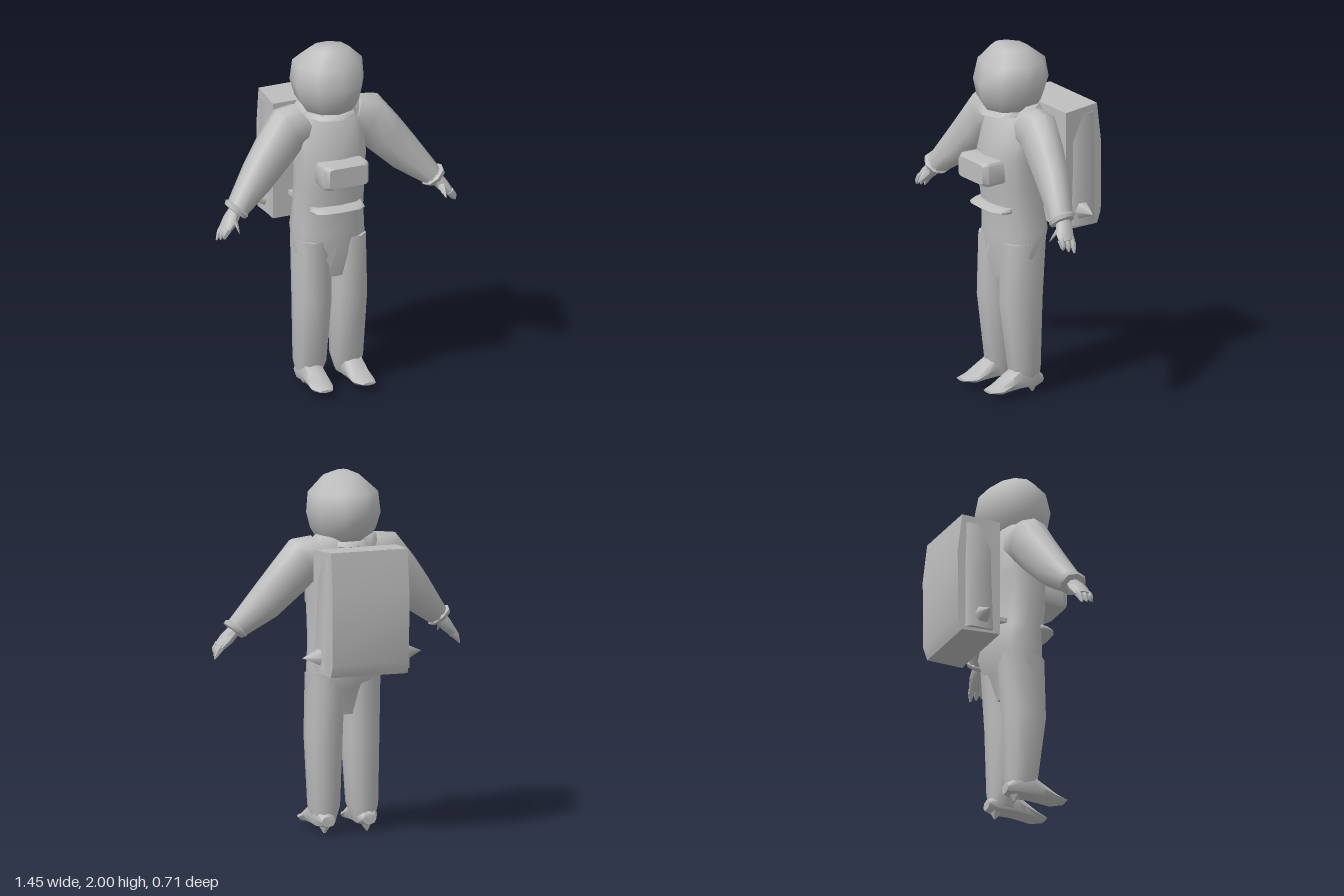
import * as THREE from 'three';
import { toCreasedNormals } from 'three/addons/utils/BufferGeometryUtils.js';

const suit = new THREE.MeshStandardMaterial({ color: 0xbcbcbc });
suit.name = 'suitGrey';
suit.side = THREE.DoubleSide;

// Loft through rings { c: centre, u, v: half-axes, p: squareness }; u x v points along the loft.
// side = -1 mirrors the part across x = 0.
function loft(rings, { sides = 10, side = 1, crease = 0.9, phase = 0 } = {}) {
  const pos = [], idx = [];
  const put = (v) => pos.push(v.x * side, v.y, v.z);
  const tri = (a, b, c) => (side > 0 ? idx.push(a, b, c) : idx.push(a, c, b));
  for (const { c, u, v, p = 2 } of rings) {
    for (let j = 0; j < sides; j++) {
      const t = ((j + phase) / sides) * Math.PI * 2;
      const bend = (k) => Math.sign(k) * Math.pow(Math.abs(k), 2 / p);
      put(c.clone().addScaledVector(u, bend(Math.cos(t))).addScaledVector(v, bend(Math.sin(t))));
    }
  }
  for (let i = 0; i < rings.length - 1; i++) {
    for (let j = 0; j < sides; j++) {
      const a = i * sides + j, b = i * sides + ((j + 1) % sides);
      tri(a, b, b + sides);
      tri(a, b + sides, a + sides);
    }
  }
  const n = rings.length * sides, last = n - sides;
  put(rings[0].c);
  put(rings[rings.length - 1].c);
  for (let j = 0; j < sides; j++) {
    const k = (j + 1) % sides;
    tri(n, k, j);
    tri(n + 1, last + j, last + k);
  }
  const g = new THREE.BufferGeometry();
  g.setAttribute('position', new THREE.Float32BufferAttribute(pos, 3));
  g.setIndex(idx);
  return toCreasedNormals(g, crease);
}

const V = (x, y, z) => new THREE.Vector3(x, y, z);

// Ring in a horizontal plane, given by its x centre, x radius and z limits (order rings top to bottom)
const level = (y, cx, rx, z0, z1, p) => ({ c: V(cx, y, (z0 + z1) / 2), u: V(rx, 0, 0), v: V(0, 0, (z1 - z0) / 2), p });

// Ring facing +z (order rings back to front)
const facing = (z, cx, cy, rx, ry, p) => ({ c: V(cx, cy, z), u: V(rx, 0, 0), v: V(0, ry, 0), p });

// Ring across an arm that slopes outward and down by the given angle
const across = (x, y, z, r, rz, angle = 0.85, p = 2.2) => ({
  c: V(x, y, z), u: V(Math.sin(angle) * r, Math.cos(angle) * r, 0), v: V(0, 0, rz), p,
});

export function createModel() {
  const model = new THREE.Group();
  model.name = 'astronaut';
  const add = (name, geometry) => {
    const m = new THREE.Mesh(geometry, suit);
    m.name = name;
    model.add(m);
    return m;
  };

  // Faceted helmet with a tilted crown
  add('helmet', loft([
    level(2.0, -0.02, 0.03, 0.11, 0.16),
    level(1.975, 0.0, 0.11, 0.0, 0.2),
    level(1.895, -0.002, 0.198, -0.105, 0.265),
    level(1.78, -0.005, 0.207, -0.13, 0.297),
    level(1.69, -0.005, 0.182, -0.1, 0.28),
    level(1.61, -0.005, 0.13, -0.04, 0.23),
  ], { sides: 9, crease: 1.2, phase: 0.25 }));

  // Neck ring
  add('collar', loft([
    level(1.63, -0.01, 0.155, -0.07, 0.25),
    level(1.605, -0.01, 0.165, -0.09, 0.275),
    level(1.595, -0.01, 0.14, -0.06, 0.2),
  ], { sides: 9, phase: 0.25 }));

  add('torso', loft([
    level(1.66, 0, 0.18, -0.03, 0.13),
    level(1.6, 0, 0.215, -0.06, 0.18, 2.3),
    level(1.37, 0, 0.205, -0.062, 0.26, 2.3),
    level(1.2, 0, 0.2, -0.06, 0.245, 2.3),
    level(1.05, 0, 0.2, -0.066, 0.222, 2.4),
    level(0.93, 0, 0.208, -0.09, 0.22, 2.5),
    level(0.8, 0, 0.208, -0.035, 0.215, 2.6),
    level(0.66, 0, 0.17, 0.0, 0.19, 2.6),
  ], { sides: 12, crease: 1.1 }));

  for (const side of [1, -1]) {
    const tag = side > 0 ? 'left' : 'right';

    add(tag + 'Leg', loft([
      level(0.88, 0.104, 0.102, -0.05, 0.212, 2.5),
      level(0.53, 0.108, 0.1, -0.025, 0.22, 2.5),
      level(0.15, 0.112, 0.088, -0.012, 0.17, 2.5),
      level(0.06, 0.115, 0.06, 0.0, 0.14, 2.5),
    ], { side }));

    // Boot with a flat pointed toe
    add(tag + 'Boot', loft([
      facing(-0.02, 0.12, 0.07, 0.04, 0.03),
      facing(0.04, 0.12, 0.088, 0.068, 0.06, 2.6),
      facing(0.13, 0.122, 0.098, 0.066, 0.068, 2.4),
      facing(0.19, 0.123, 0.08, 0.066, 0.048, 2.4),
      facing(0.27, 0.125, 0.053, 0.066, 0.022, 2.4),
      facing(0.335, 0.13, 0.053, 0.04, 0.008),
    ], { side, sides: 8 }));
    add(tag + 'Heel', loft([
      level(0.05, 0.12, 0.04, 0.0, 0.08),
      level(0.0, 0.125, 0.006, 0.025, 0.04),
    ], { side, sides: 5 }));

    // Sleeve from shoulder to wrist
    add(tag + 'Arm', loft([
      across(0.13, 1.545, 0.065, 0.13, 0.105, 0.5),
      across(0.235, 1.53, 0.07, 0.135, 0.11, 0.55),
      across(0.335, 1.415, 0.085, 0.122, 0.1, 0.83),
      across(0.45, 1.29, 0.11, 0.105, 0.09, 0.65),
      across(0.59, 1.15, 0.16, 0.062, 0.068, 0.8),
    ], { side }));

    add(tag + 'Cuff', loft([
      across(0.585, 1.16, 0.16, 0.06, 0.068),
      across(0.594, 1.151, 0.163, 0.075, 0.08),
      across(0.61, 1.136, 0.167, 0.066, 0.07),
      across(0.612, 1.134, 0.168, 0.04, 0.045),
    ], { side, sides: 8 }));

    add(tag + 'Palm', loft([
      across(0.6, 1.145, 0.165, 0.035, 0.04),
      across(0.645, 1.09, 0.18, 0.036, 0.055),
      across(0.685, 1.045, 0.19, 0.024, 0.05),
    ], { side, sides: 8 }));

    // Pointed fingers, then the thumb
    for (let i = 0; i < 3; i++) {
      const z = 0.16 + i * 0.032;
      add(tag + 'Finger' + (i + 1), loft([
        across(0.675, 1.06, z, 0.022, 0.02),
        across(0.7, 1.025, z, 0.018, 0.016),
        across(0.72 - i * 0.008, 0.985 + i * 0.012, z + 0.004, 0.004, 0.006),
      ], { side, sides: 6 }));
    }
    add(tag + 'Thumb', loft([
      across(0.625, 1.11, 0.2, 0.024, 0.022),
      across(0.628, 1.075, 0.235, 0.016, 0.016),
      across(0.63, 1.045, 0.27, 0.003, 0.004),
    ], { side, sides: 6 }));

    // Pointed fitting on the side of the backpack
    const spike = new THREE.ConeGeometry(0.055, 0.11, 6);
    spike.rotateZ(-side * Math.PI / 2);
    add(tag + 'PackFitting', spike).position.set(side * 0.295, 1.03, -0.215);
  }

  // Backpack, an extruded side outline with its back edges drawn in
  const outline = [[0.11, 0.935], [0.33, 0.93], [0.355, 1.0], [0.357, 1.4], [0.33, 1.625], [0.11, 1.61]];
  const packShape = new THREE.Shape(outline.map(([z, y]) => new THREE.Vector2(z, y)));
  const pack = new THREE.ExtrudeGeometry(packShape, { depth: 0.5, steps: 1, bevelEnabled: false });
  pack.translate(0, 0, -0.25).rotateY(Math.PI / 2);
  const pp = pack.attributes.position;
  for (let i = 0; i < pp.count; i++) {
    const z = pp.getZ(i), narrow = z < -0.3 ? 0.9 : 0.97;
    pp.setX(i, pp.getX(i) * narrow);
  }
  add('backpack', toCreasedNormals(pack, 0.6));
  // Bulged side walls of the backpack
  add('backpackSides', loft([
    level(1.58, 0, 0.235, -0.33, -0.12, 7),
    level(1.3, 0, 0.247, -0.34, -0.12, 5),
    level(0.95, 0, 0.257, -0.33, -0.12, 5),
  ], { sides: 12, phase: 0.5 }));

  // Strap joining the pack to the waist
  add('packStrap', new THREE.BoxGeometry(0.3, 0.025, 0.12)).position.set(0, 1.075, -0.06);

  // Chest control box with a softened front
  add('chestBox', loft([
    facing(0.2, -0.005, 1.3, 0.135, 0.07, 9),
    facing(0.325, -0.005, 1.3, 0.136, 0.072, 9),
    facing(0.355, -0.005, 1.3, 0.115, 0.058, 9),
  ], { sides: 12, phase: 0.5, crease: 0.7 }));

  // Belt lip across the waist
  add('belt', loft([
    level(1.09, -0.005, 0.15, 0.12, 0.255, 3),
    level(1.07, -0.005, 0.16, 0.12, 0.29, 3),
    level(1.055, -0.005, 0.145, 0.12, 0.245, 3),
  ], { sides: 12 }));

  // Small loose flap below the waist
  const flap = new THREE.ShapeGeometry(new THREE.Shape([
    new THREE.Vector2(-0.01, 0.86), new THREE.Vector2(-0.08, 0.78), new THREE.Vector2(-0.05, 0.73),
  ]));
  add('flap', flap).position.z = 0.224;

  return model;
}
